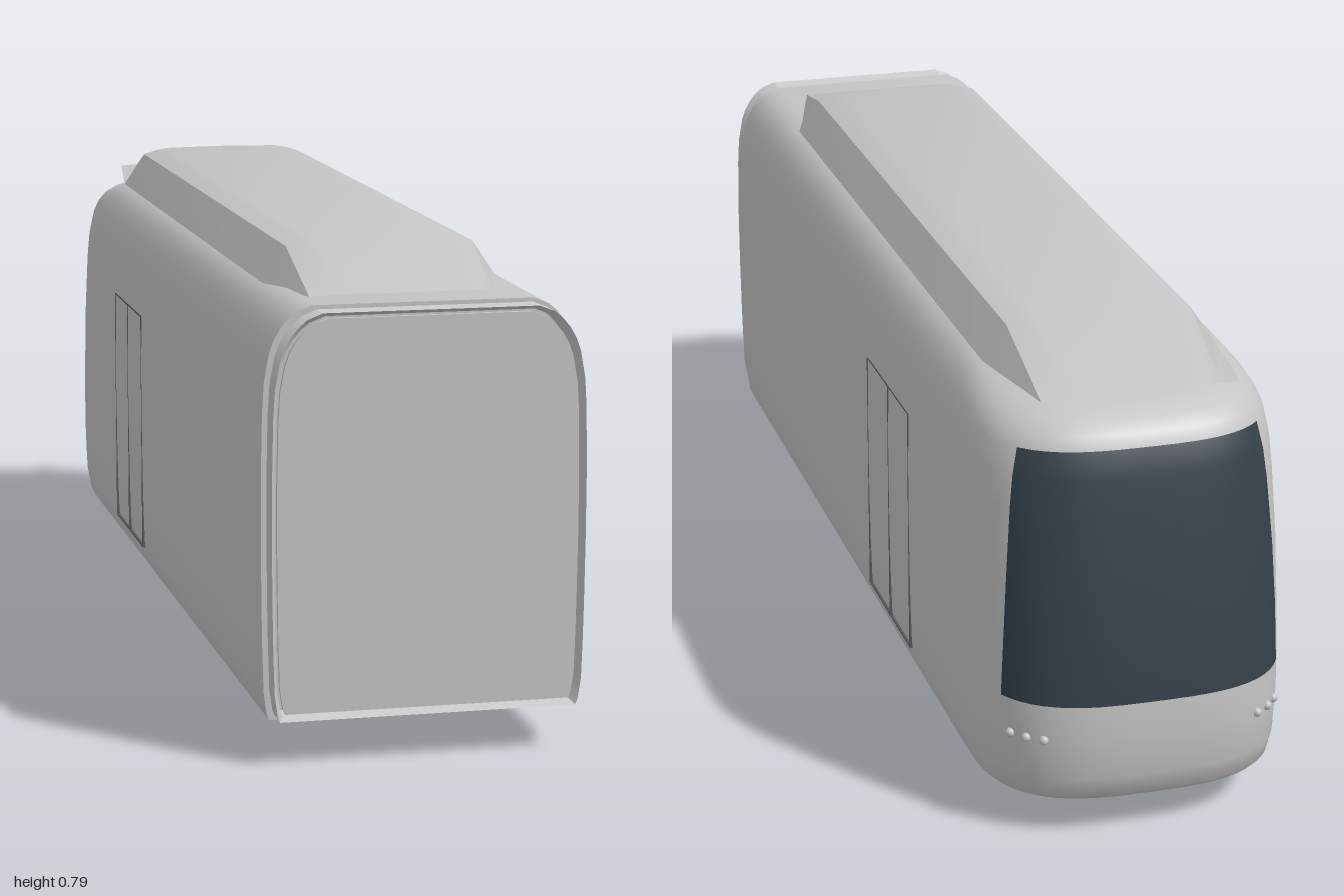
import * as THREE from 'three';
import { toCreasedNormals } from 'three/addons/utils/BufferGeometryUtils.js';

const mat = (name, color, side = THREE.FrontSide) => {
  const m = new THREE.MeshStandardMaterial({ color, side });
  m.name = name;
  return m;
};

// Body levels: height, half width, nose z
const LEVELS = [
  [0.065, 0.248, -0.972], [0.075, 0.252, -0.982], [0.11, 0.257, -0.991], [0.18, 0.259, -0.996],
  [0.24, 0.26, -0.993], [0.34, 0.261, -0.982], [0.45, 0.261, -0.966], [0.56, 0.259, -0.946],
  [0.61, 0.256, -0.936], [0.655, 0.248, -0.925], [0.675, 0.241, -0.913], [0.693, 0.231, -0.89],
  [0.708, 0.219, -0.85], [0.72, 0.205, -0.8], [0.73, 0.18, -0.73]];
const REAR = 0.945, DEPTH = 0.25, EDGE = 6, HALF = 16;

// Point on the rounded nose at angle t (0 = +x side, PI/2 = tip)
function nosePoint([y, w, tip], t) {
  const c = Math.cos(t), s = Math.max(Math.sin(t), 0);
  return [Math.sign(c) * w * Math.abs(c) ** (2 / 3), y, tip + DEPTH - DEPTH * s ** (2 / 3)];
}

// Horizontal outline at one level; column EDGE is the windscreen border
function outline(level) {
  const k = THREE.MathUtils.clamp((level[0] - 0.24) / 0.415, 0, 1);
  const edge = THREE.MathUtils.degToRad(30 + 13 * k);
  const half = [];
  for (let j = 0; j <= HALF; j++) {
    half.push(j <= EDGE ? edge * j / EDGE : edge + (Math.PI / 2 - edge) * (j - EDGE) / (HALF - EDGE));
  }
  const angles = [...half, ...half.slice(0, -1).reverse().map(t => Math.PI - t)];
  return [[level[1], level[0], REAR], ...angles.map(t => nosePoint(level, t)), [-level[1], level[0], REAR]];
}

// Skin over rows of points; pick(i, j) gives the material index of a cell
function loft(rows, { closed = false, capStart = false, capEnd = false, crease = 0.6, pick = () => 0 } = {}) {
  const n = rows[0].length, pos = rows.flat(2), faces = [[], []];
  for (let i = 0; i < rows.length - 1; i++) {
    for (let j = 0; j < (closed ? n : n - 1); j++) {
      const k = (j + 1) % n, a = i * n + j, b = i * n + k;
      faces[pick(i, j)].push(a, b, b + n, a, b + n, a + n);
    }
  }
  const cap = (i, flip) => {
    const c = pos.length / 3;
    const mid = [0, 1, 2].map(d => rows[i].reduce((s, p) => s + p[d], 0) / n);
    mid[0] = 0;
    pos.push(...mid);
    for (let j = 0; j < n; j++) {
      const a = i * n + j, b = i * n + (j + 1) % n;
      faces[0].push(c, flip ? b : a, flip ? a : b);
    }
  };
  if (capStart) cap(0, true);
  if (capEnd) cap(rows.length - 1, false);
  const g = new THREE.BufferGeometry();
  g.setAttribute('position', new THREE.Float32BufferAttribute(pos, 3));
  g.setIndex([...faces[0], ...faces[1]]);
  g.addGroup(0, faces[0].length, 0);
  if (faces[1].length) g.addGroup(faces[0].length, faces[1].length, 1);
  return toCreasedNormals(g, crease);
}

// Rear cross-section, inset and placed at z
function section(z, inset) {
  const right = LEVELS.map(([y, w]) => [w - inset, THREE.MathUtils.mapLinear(y, 0.065, 0.73, 0.07 + inset, 0.732 - inset), z]);
  return [...right, ...right.map(([x, y]) => [-x, y, z]).reverse()];
}

export function createModel() {
  const model = new THREE.Group();
  const paint = mat('body grey', 0xc4c4c4);
  const sheet = mat('sheet grey', 0xc4c4c4, THREE.DoubleSide);
  sheet.color = paint.color;
  const glass = mat('dark glass', 0x35404a);
  const seam = mat('seam grey', 0x55585a);
  const add = (name, geometry, material, parent = model) => {
    const m = new THREE.Mesh(geometry, material);
    m.name = name;
    parent.add(m);
    return m;
  };

  // Body shell with wraparound windscreen
  const cols = 2 * HALF;
  add('bodyShell', loft(LEVELS.map(outline), {
    closed: true, capStart: true, capEnd: true,
    pick: (i, j) => (i >= 4 && i < 9 && j > EDGE && j <= cols - EDGE ? 1 : 0),
  }), [paint, glass]);

  // Ribbed gangway and its end panel
  const ribs = [];
  for (let i = 0; i <= 6; i++) ribs.push(section(0.94 + i * 0.01, i % 2 ? 0.012 : 0.006));
  add('gangwayBellows', loft(ribs, { closed: true, crease: 0.3 }), sheet);
  add('gangwayPanel', loft([section(0.985, 0.016), section(0.992, 0.016)], { closed: true, capEnd: true }), paint);

  // Tapered roof fairing, open underneath
  const arch = [[0.198, 0], [0.158, 0.82], [0.135, 0.92], [0.11, 0.98], [0, 1]];
  const full = [...arch, ...arch.slice(0, -1).reverse().map(([x, h]) => [-x, h])];
  const stations = [[-0.885, 0.84, 0.733, 0.002], [-0.66, 1, 0.723, 0.072], [0.66, 1, 0.723, 0.072], [0.87, 0.84, 0.731, 0.002]];
  add('roofFairing', loft(stations.map(([z, s, y, h]) => full.map(([x, k]) => [x * s, y + h * k, z])), { crease: 0.5 }), sheet);

  // Double door seams on both sides
  for (const side of [1, -1]) {
    const door = new THREE.Group();
    door.name = side > 0 ? 'leftDoor' : 'rightDoor';
    model.add(door);
    for (const z of [-0.13, -0.275, -0.413]) {
      add('doorSeam', new THREE.BoxGeometry(0.006, 0.44, 0.003), seam, door).position.set(side * 0.2585, 0.32, z);
    }
    for (const y of [0.1, 0.54]) {
      add('doorSeam', new THREE.BoxGeometry(0.006, 0.003, 0.283), seam, door).position.set(side * 0.257, y, -0.2715);
    }
  }

  // Small lamps below the windscreen
  const lamp = new THREE.SphereGeometry(0.008, 12, 8);
  for (const t of [0.62, 0.78, 0.94]) {
    for (const a of [t, Math.PI - t]) {
      add('lamp', lamp, paint).position.set(...nosePoint(LEVELS[3], a));
    }
  }

  // Flanged wheels and axles
  const wheelShape = [[0, -0.013], [0.054, -0.013], [0.062, -0.009], [0.063, -0.005], [0.057, 0], [0.054, 0.013], [0, 0.013]];
  const wheel = toCreasedNormals(new THREE.LatheGeometry(wheelShape.map(p => new THREE.Vector2(...p)), 32), 0.6);
  for (const z of [0.58, 0.19]) {
    for (const side of [1, -1]) {
      const w = add('wheel', wheel, paint);
      w.position.set(side * 0.166, 0.064, z);
      w.rotation.z = -side * Math.PI / 2;
    }
    const axle = add('axle', new THREE.CylinderGeometry(0.006, 0.006, 0.31, 12), paint);
    axle.position.set(0, 0.063, z);
    axle.rotation.z = Math.PI / 2;
  }
  return model;
}
